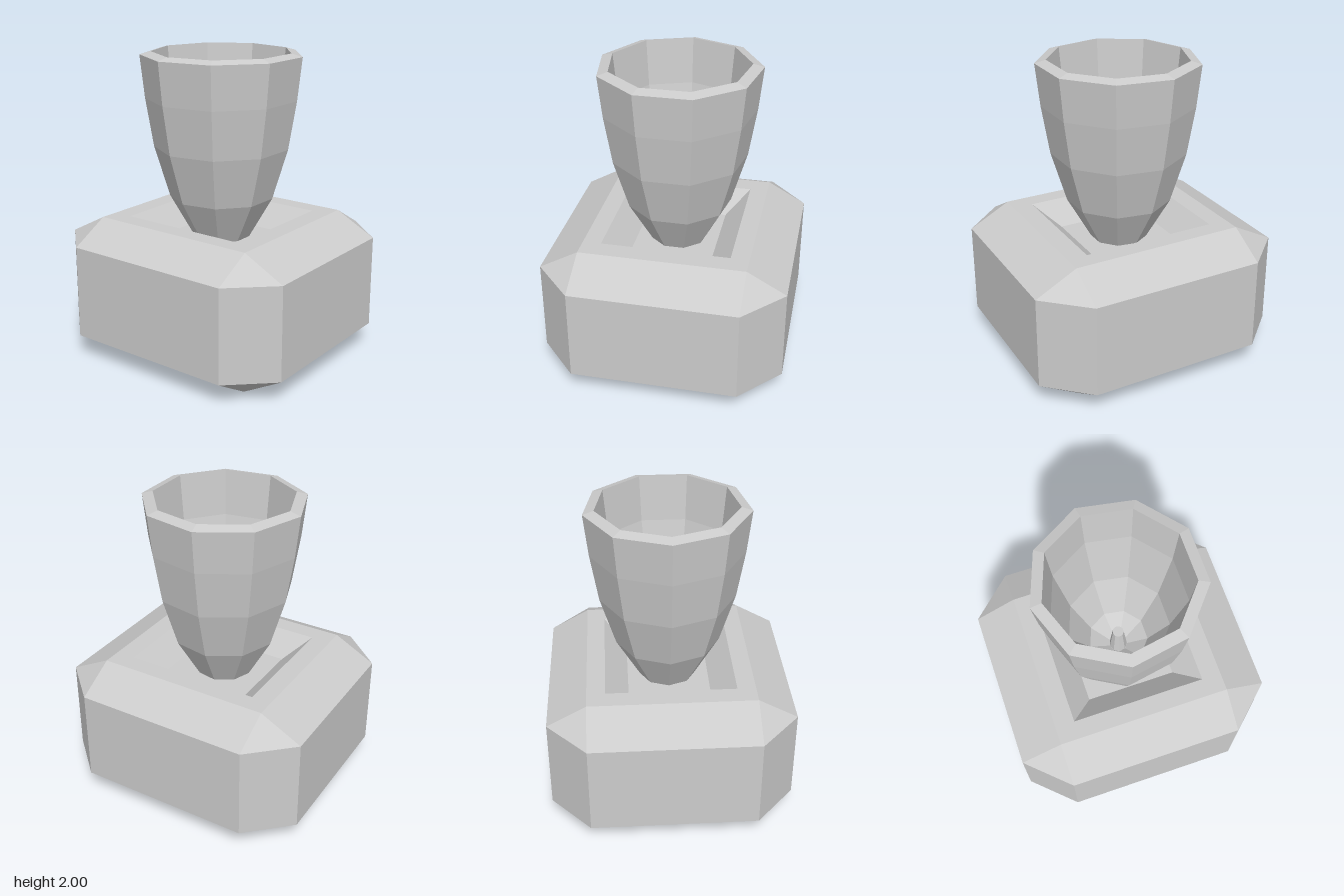
import * as THREE from 'three';

const material = new THREE.MeshStandardMaterial({ color: 0xcccccc, flatShading: true });

// Eight-corner ring: flats end at (fx, fz), sides lie at (X, Z); X = fx, Z = fz gives a rectangle
function ring(y, fx, fz, X = fx, Z = fz) {
  return [[-fx, Z], [fx, Z], [X, fz], [X, -fz], [fx, -Z], [-fx, -Z], [-X, -fz], [-X, fz]]
    .map(([x, z]) => new THREE.Vector3(x, y, z));
}

// Skin a stack of rings and cap both ends, leaving out collapsed triangles
function skin(rings) {
  const positions = [];
  const tri = (a, b, c) => {
    if (new THREE.Triangle(a, b, c).getArea() < 1e-7) return;
    for (const p of [a, b, c]) positions.push(p.x, p.y, p.z);
  };
  const n = rings[0].length;
  for (let k = 0; k < rings.length - 1; k++) {
    const lo = rings[k], hi = rings[k + 1];
    for (let i = 0; i < n; i++) {
      const j = (i + 1) % n;
      tri(lo[i], lo[j], hi[j]);
      tri(lo[i], hi[j], hi[i]);
    }
  }
  const first = rings[0], last = rings[rings.length - 1];
  for (let i = 1; i < n - 1; i++) {
    tri(first[0], first[i + 1], first[i]);
    tri(last[0], last[i], last[i + 1]);
  }
  const geometry = new THREE.BufferGeometry();
  geometry.setAttribute('position', new THREE.Float32BufferAttribute(positions, 3));
  geometry.computeVertexNormals();
  return geometry;
}

// Nine-sided turned part with a corner at the back
function turned(profile) {
  const points = profile.map(([r, y]) => new THREE.Vector2(r, y));
  return new THREE.LatheGeometry(points, 9, Math.PI);
}

export function createModel() {
  const group = new THREE.Group();
  const add = (name, geometry) => {
    const mesh = new THREE.Mesh(geometry, material);
    mesh.name = name;
    group.add(mesh);
  };

  // Bevelled block with a sloped square recess in its top
  add('base', skin([
    ring(0, 0.54, 0.58),
    ring(0.15, 0.54, 0.58, 0.796, 0.855),
    ring(0.768, 0.54, 0.58, 0.796, 0.855),
    ring(0.912, 0.54, 0.58),
    ring(0.912, 0.42, 0.45),
    ring(0.77, 0.27, 0.3),
  ]));

  // Hollow cup: outside going up, rim, inside going down
  add('cup', turned([
    [0, 0.77], [0.19, 0.77], [0.345, 1.045], [0.445, 1.38], [0.497, 1.7], [0.527, 1.98],
    [0.455, 2], [0.425, 1.7], [0.33, 1.3], [0.195, 1.03], [0.06, 0.93], [0, 0.93],
  ]));

  // Small tapered peg standing in the bottom of the cup
  add('peg', turned([[0.06, 0.92], [0.037, 1.15], [0, 1.15]]));

  return group;
}
